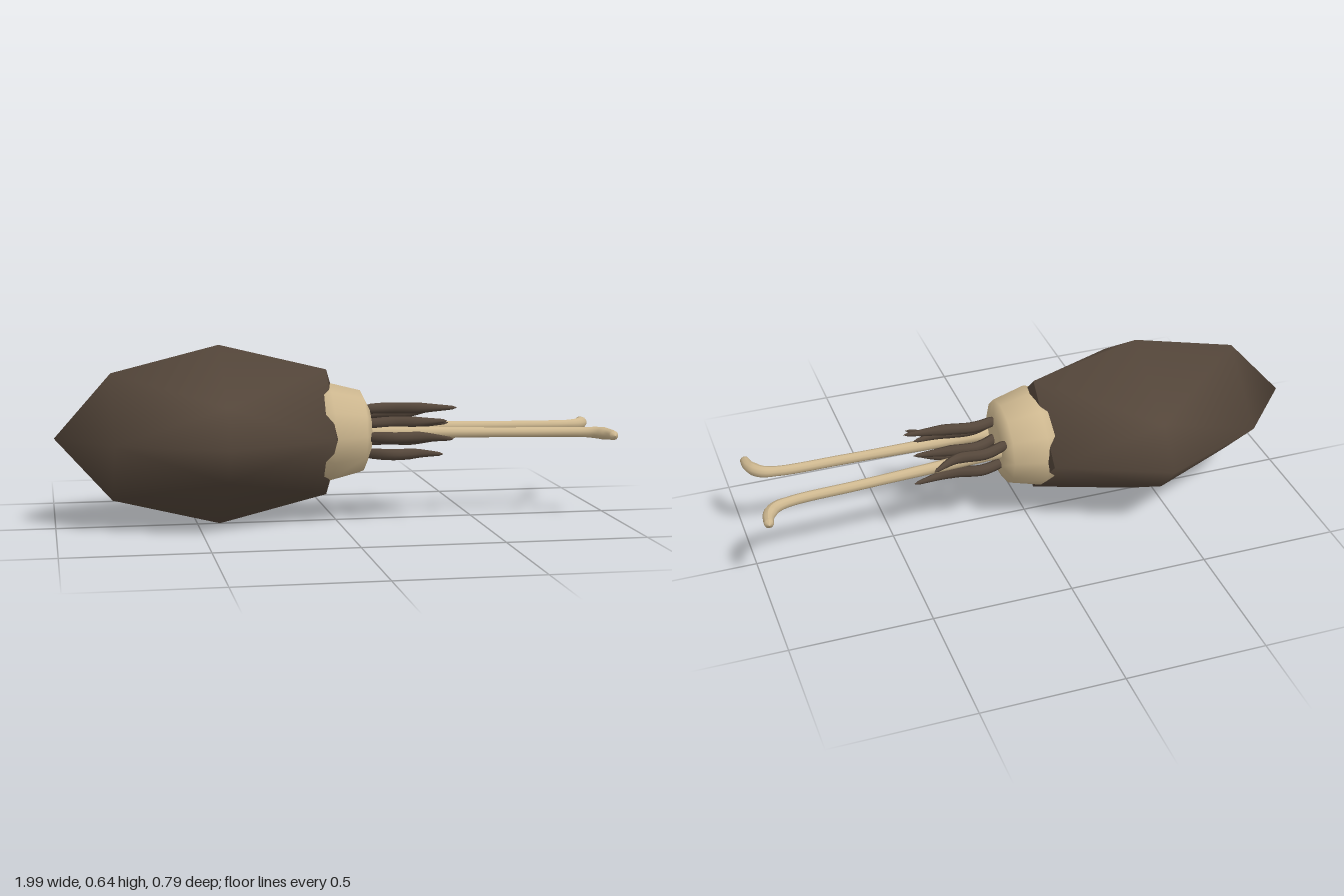
import * as THREE from 'three';
import { mergeVertices } from 'three/addons/utils/BufferGeometryUtils.js';

const MID_Y = 0.32;
const dark = new THREE.MeshStandardMaterial({ color: 0x54463a });
const pale = new THREE.MeshStandardMaterial({ color: 0xcdb78f });

function add(group, name, geometry, material) {
  const mesh = new THREE.Mesh(geometry, material);
  mesh.name = name;
  group.add(mesh);
  return mesh;
}

// Smooth surface from a list of triangle corners
function smoothSurface(corners) {
  const raw = new THREE.BufferGeometry().setFromPoints(corners);
  const geometry = mergeVertices(raw, 1e-4);
  geometry.computeVertexNormals();
  return geometry;
}

// Mantle: a stretched octahedron whose edges are split once, mirrored into eight octants
function buildMantle(group) {
  const mid = -0.42;
  const body = [], collar = [];
  for (const sx of [-1, 1]) for (const sy of [-1, 1]) for (const sz of [-1, 1]) {
    const p = (x, y, z) => new THREE.Vector3(x, MID_Y + sy * y, sz * z);
    const ringX = sx < 0 ? -0.8 : -0.035;
    const pole = p(sx < 0 ? -1 : 0.03, 0, 0);
    const top = p(mid, 0.32, 0), side = p(mid, 0, 0.393), diagonal = p(mid, 0.13, 0.28);
    const ringTop = p(ringX, 0.226, 0), ringSide = p(ringX, 0, 0.226);
    const put = (list, a, b, c) => list.push(...(sx * sy * sz > 0 ? [a, b, c] : [a, c, b]));
    put(sx < 0 ? body : collar, pole, ringTop, ringSide);
    put(body, ringTop, top, diagonal);
    put(body, ringSide, diagonal, side);
    put(body, ringTop, diagonal, ringSide);
  }
  add(group, 'mantle', smoothSurface(body), dark);
  add(group, 'mantleCollar', smoothSurface(collar), dark);
}

// Head: a turned dome lying along x
function buildHead(group) {
  const profile = [[0, -0.18], [0.15, -0.14], [0.19, -0.03], [0.158, 0.088], [0.1, 0.115], [0, 0.125]];
  const geometry = new THREE.LatheGeometry(profile.map(([r, x]) => new THREE.Vector2(r, x)), 12);
  geometry.rotateZ(-Math.PI / 2);
  geometry.scale(1, 0.94, 1);
  geometry.translate(0, MID_Y, 0);
  add(group, 'head', geometry, pale);
}

// Tube whose radius follows [position, radius] stops along a curved path
function taperedTube(points, stops, segments, sides) {
  const curve = new THREE.CatmullRomCurve3(points.map((p) => new THREE.Vector3(...p)));
  const geometry = new THREE.TubeGeometry(curve, segments, 1, sides);
  const position = geometry.attributes.position;
  const v = new THREE.Vector3();
  for (let i = 0; i <= segments; i++) {
    const t = i / segments;
    const k = Math.max(1, stops.findIndex(([s]) => s >= t));
    const [t0, r0] = stops[k - 1], [t1, r1] = stops[k];
    const radius = THREE.MathUtils.lerp(r0, r1, (t - t0) / (t1 - t0));
    const center = curve.getPointAt(t);
    for (let j = 0; j <= sides; j++) {
      const n = i * (sides + 1) + j;
      v.fromBufferAttribute(position, n).sub(center).multiplyScalar(radius).add(center);
      position.setXYZ(n, v.x, v.y, v.z);
    }
  }
  geometry.computeVertexNormals();
  return geometry;
}

// Short arms: height, then z at root, first bend, second bend and tip, then tip x
const ARMS = [
  [0.402, 0.02, -0.003, 0.015, 0.03, 0.44],
  [0.357, 0.08, 0.05, 0.06, 0.045, 0.4],
  [0.341, 0.01, -0.04, -0.03, -0.02, 0.42],
  [0.368, -0.09, -0.13, -0.125, -0.18, 0.39],
  [0.312, 0.09, 0.13, 0.13, 0.19, 0.39],
  [0.247, 0.04, 0.1, 0.085, 0.115, 0.37],
  [0.275, -0.06, -0.09, -0.07, -0.095, 0.44],
];
const ARM_RADII = [[0, 0], [0.06, 0.018], [0.25, 0.02], [0.6, 0.02], [0.95, 0.007], [1, 0]];

function buildArms(group) {
  ARMS.forEach(([y, z0, z1, z2, z3, tip], i) => {
    const path = [[0.09, y, z0], [0.19, y, z1], [0.29, y, z2], [tip, y, z3]];
    add(group, `arm${i + 1}`, taperedTube(path, ARM_RADII, 20, 8), dark);
  });
}

// Long feeding tentacles with outward hooked ends
const TENTACLE_RADII = [[0, 0.024], [0.5, 0.018], [0.84, 0.018], [0.92, 0.023], [0.99, 0.016], [1, 0]];

function buildTentacles(group) {
  for (const [name, side, shift] of [['leftTentacle', 1, 0], ['rightTentacle', -1, 0.013]]) {
    const z = (d) => side * (d + shift);
    const path = [
      [0.06, 0.325, z(0.055)], [0.35, 0.319, z(0.068)], [0.65, 0.314, z(0.08)],
      [0.87, 0.311, z(0.089)], [0.935, 0.31, z(0.108)], [0.968, 0.31, z(0.15)], [0.978, 0.31, z(0.207)],
    ];
    add(group, name, taperedTube(path, TENTACLE_RADII, 100, 10), pale);
  }
}

export function createModel() {
  const group = new THREE.Group();
  group.name = 'squid';
  buildMantle(group);
  buildHead(group);
  buildArms(group);
  buildTentacles(group);
  return group;
}
